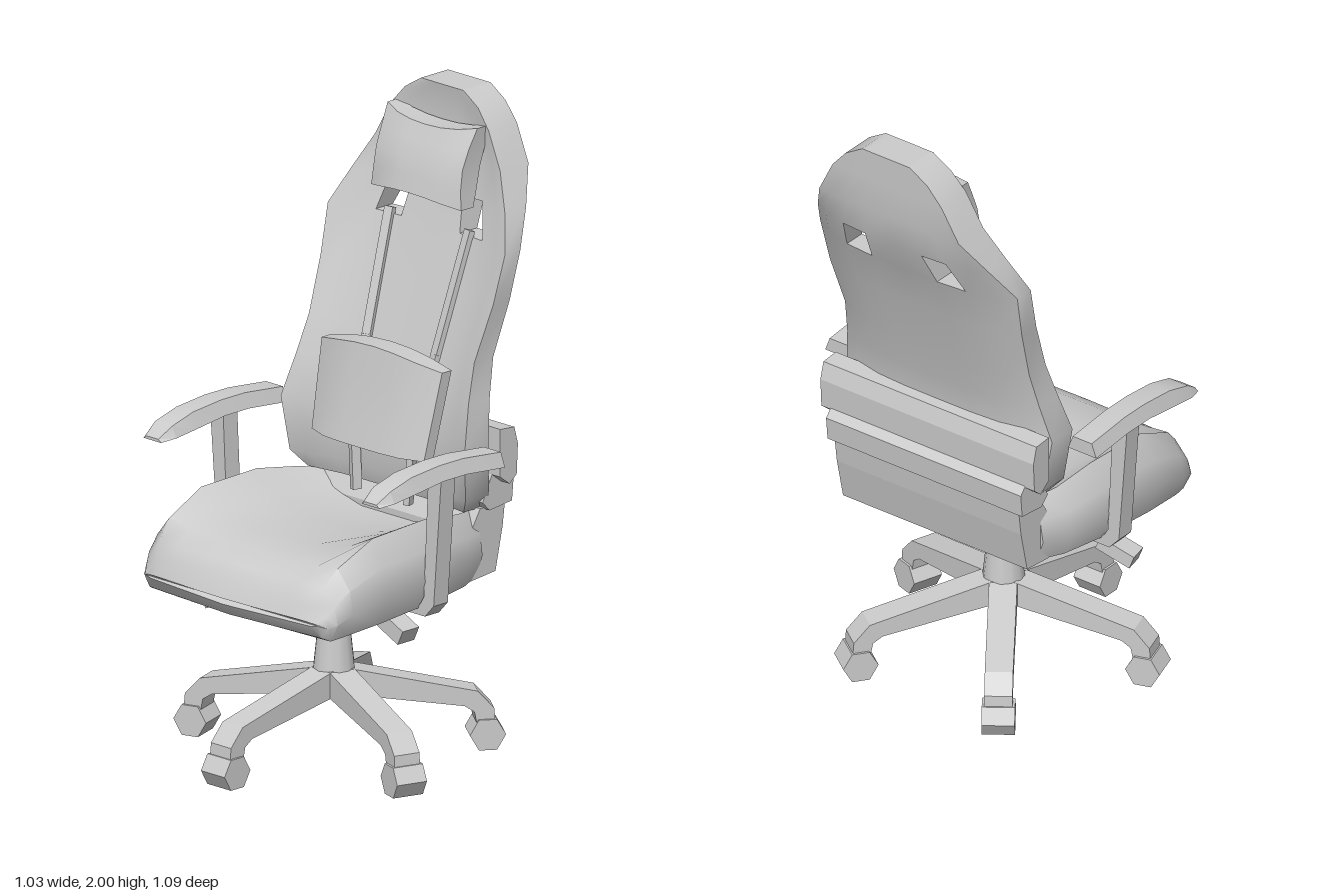
import * as THREE from 'three';
import { toCreasedNormals } from 'three/addons/utils/BufferGeometryUtils.js';

const V = (x, y, z) => new THREE.Vector3(x, y, z);
const material = new THREE.MeshStandardMaterial({ color: 0xcccccc });

function add(parent, name, geometry) {
  const mesh = new THREE.Mesh(geometry, material);
  mesh.name = name;
  parent.add(mesh);
  return mesh;
}

// Turns a list of corner loops (triangles or quads) into a creased mesh
function facesToGeometry(faces, crease) {
  const pts = [];
  for (const f of faces)
    for (let i = 1; i < f.length - 1; i++) pts.push(f[0], f[i], f[i + 1]);
  const g = new THREE.BufferGeometry().setFromPoints(pts);
  return toCreasedNormals(g, crease);
}

// Skins closed sections ordered along +z, each counterclockwise from the front
function loft(sections, crease) {
  const faces = [], n = sections[0].length;
  for (let i = 0; i < sections.length - 1; i++)
    for (let j = 0; j < n; j++) {
      const k = (j + 1) % n;
      faces.push([sections[i][j], sections[i][k], sections[i + 1][k], sections[i + 1][j]]);
    }
  for (const [s, front] of [[sections[0], false], [sections.at(-1), true]]) {
    const mid = s.reduce((m, p) => m.add(p), V(0, 0, 0)).divideScalar(n);
    s.forEach((p, j) => {
      const q = s[(j + 1) % n];
      faces.push(front ? [mid, p, q] : [mid, q, p]);
    });
  }
  return facesToGeometry(faces, crease);
}

// Side profile given as [z, y], extruded across x
function sideExtrude(profile, width) {
  const shape = new THREE.Shape(profile.map(([z, y]) => new THREE.Vector2(z, y)));
  return new THREE.ExtrudeGeometry(shape, { depth: width, bevelEnabled: false })
    .translate(0, 0, -width / 2).rotateY(-Math.PI / 2);
}

// Straight bar between two points
function bar(parent, name, a, b, w, t) {
  const mesh = add(parent, name, new THREE.BoxGeometry(w, t, a.distanceTo(b)));
  mesh.position.copy(a).lerp(b, 0.5);
  mesh.lookAt(b);
}

// Shell with strap holes: rows of
// [y, half width, front edge z, centre recess, edge thickness, centre back z]
function backrestGeometry() {
  const rows = [
    [0.78, 0.33, -0.19, 0.02, 0.09, -0.29], [0.83, 0.372, -0.155, 0.04, 0.1, -0.285],
    [1.0, 0.39, -0.135, 0.06, 0.1, -0.285], [1.13, 0.365, -0.175, 0.06, 0.09, -0.315],
    [1.25, 0.35, -0.215, 0.06, 0.08, -0.35], [1.42, 0.365, -0.28, 0.05, 0.07, -0.4],
    [1.57, 0.375, -0.32, 0.06, 0.065, -0.455], [1.68, 0.325, -0.37, 0.04, 0.09, -0.51],
    [1.79, 0.265, -0.41, 0.03, 0.12, -0.535], [1.9, 0.207, -0.42, 0.02, 0.12, -0.54],
    [1.96, 0.155, -0.427, 0.01, 0.116, -0.543], [2.0, 0.09, -0.43, 0, 0.115, -0.545]];
  const cols = [-1, -0.85, -0.6, -0.33, 0, 0.33, 0.6, 0.85, 1];
  const dip = { 0: 1, 0.33: 1, 0.6: 0.9, 0.85: 0.3, 1: 0 };
  const front = rows.map(([y, w, zf, rec]) => cols.map(f => V(f * w, y, zf - rec * dip[Math.abs(f)])));
  const back = rows.map(([y, w, zf, , t, zb]) =>
    cols.map(f => V(f * w, y, zf - t + (zb - zf + t) * (1 - f ** 4))));
  const solid = (r, c) => r >= 0 && r < rows.length - 1 && c >= 0 && c < cols.length - 1
    && !(r === 6 && (c === 2 || c === 5));
  const faces = [];
  for (let r = 0; r < rows.length - 1; r++)
    for (let c = 0; c < cols.length - 1; c++) {
      if (!solid(r, c)) continue;
      const q = [[r, c], [r, c + 1], [r + 1, c + 1], [r + 1, c]];
      faces.push(q.map(([i, j]) => front[i][j]), q.map(([i, j]) => back[i][j]).reverse());
      // Close every open edge with a wall
      [[r - 1, c], [r, c + 1], [r + 1, c], [r, c - 1]].forEach((next, k) => {
        if (solid(...next)) return;
        const [a, b] = [q[k], q[(k + 1) % 4]];
        faces.push([front[a[0]][a[1]], back[a[0]][a[1]], back[b[0]][b[1]], front[b[0]][b[1]]]);
      });
    }
  return facesToGeometry(faces, 0.6);
}

// Seat sections: [z, half width, bolster top, centre top, bottom, bow of the front edge]
function seatGeometry() {
  const stations = [
    [-0.24, 0.36, 0.77, 0.7, 0.57, 0], [-0.15, 0.4, 0.785, 0.7, 0.565, 0],
    [0, 0.42, 0.808, 0.715, 0.555, 0], [0.23, 0.427, 0.8, 0.73, 0.54, 0],
    [0.38, 0.42, 0.735, 0.715, 0.53, 0.01], [0.44, 0.405, 0.68, 0.685, 0.522, 0.02],
    [0.475, 0.39, 0.63, 0.64, 0.535, 0.03], [0.5, 0.365, 0.585, 0.59, 0.572, 0.035]];
  return loft(stations.map(([z, w, yt, yc, yb, bow]) => {
    const half = [[0.93, yb], [1, yb + (yt - yb) * 0.35], [0.97, yb + (yt - yb) * 0.7],
      [0.85, yt], [0.64, yt * 0.4 + yc * 0.6], [0.3, yc]];
    const place = ([f, y], s) => V(s * f * w, y, z - bow * f * f);
    return [V(0, yb, z), ...half.map(p => place(p, 1)), V(0, yc, z),
      ...half.map(p => place(p, -1)).reverse()];
  }), 0.75);
}

// Cushion: a box whose vertices are pinched, bowed and leaned
function cushion(w, h, d, rule) {
  const g = new THREE.BoxGeometry(w, h, d, 6, 4, 1);
  const p = g.attributes.position;
  for (let i = 0; i < p.count; i++) {
    const v = V(p.getX(i), p.getY(i), p.getZ(i));
    rule(v, v.x / (w / 2), v.y / (h / 2));
    p.setXYZ(i, v.x, v.y, v.z);
  }
  return toCreasedNormals(g.toNonIndexed(), 0.6);
}

export function createModel() {
  const chair = new THREE.Group();
  chair.name = 'officeChair';

  // Five-legged base with castors
  const base = new THREE.Group();
  base.name = 'base';
  base.position.z = 0.03;
  chair.add(base);
  const legProfile = [[0, 0.2], [0.39, 0.14], [0.42, 0.12], [0.43, 0.07], [0.485, 0.07],
    [0.48, 0.13], [0.43, 0.185], [0, 0.285]];
  for (let i = 0; i < 5; i++) {
    const leg = new THREE.Group();
    leg.name = 'leg' + (i + 1);
    leg.rotation.y = i * Math.PI * 2 / 5;
    base.add(leg);
    add(leg, 'legBeam', sideExtrude(legProfile, 0.085));
    const wheel = new THREE.CylinderGeometry(0.055, 0.055, 0.1, 6).toNonIndexed();
    wheel.rotateZ(Math.PI / 2).translate(0, 0.048, 0.46);
    add(leg, 'castor', toCreasedNormals(wheel, 0.5));
  }
  add(base, 'hub', new THREE.CylinderGeometry(0.05, 0.07, 0.19, 12)).position.y = 0.31;
  add(base, 'gasLift', new THREE.CylinderGeometry(0.028, 0.028, 0.18, 12)).position.y = 0.47;
  add(base, 'tiltPlate', new THREE.BoxGeometry(0.16, 0.03, 0.08)).position.y = 0.545;

  // Adjustment levers
  bar(chair, 'rightLeverRod', V(-0.08, 0.53, 0.04), V(-0.31, 0.46, 0.13), 0.018, 0.018);
  bar(chair, 'rightLeverHandle', V(-0.3, 0.463, 0.125), V(-0.41, 0.42, 0.15), 0.065, 0.045);
  bar(chair, 'leftLeverRod', V(0.05, 0.52, 0.035), V(0.24, 0.49, 0.035), 0.018, 0.018);
  bar(chair, 'leftLeverHandle', V(0.225, 0.485, 0.035), V(0.32, 0.44, 0.035), 0.07, 0.05);

  // Seat, its rear block and the backrest
  add(chair, 'seat', seatGeometry());
  add(chair, 'seatRearBlock', sideExtrude([[-0.305, 0.575], [-0.335, 0.71], [-0.345, 0.785],
    [-0.24, 0.785], [-0.2, 0.72], [-0.2, 0.565]], 0.7));
  add(chair, 'backrest', backrestGeometry());

  // Bar across the back, with a narrower roll below it
  add(chair, 'rearBar', sideExtrude([[-0.27, 1.04], [-0.33, 1.035], [-0.345, 0.98], [-0.34, 0.885],
    [-0.31, 0.86], [-0.27, 0.89]], 0.81));
  add(chair, 'rearRoll', sideExtrude([[-0.27, 0.89], [-0.34, 0.89], [-0.362, 0.865],
    [-0.355, 0.79], [-0.26, 0.78], [-0.23, 0.81]], 0.74));

  // Head and lumbar cushions
  const head = add(chair, 'headCushion', cushion(0.38, 0.2, 0.075, (v, u, t) => {
    v.z *= 1 - 0.3 * u * u * t * t;
    v.z -= 0.02 * u ** 4 + 0.025 * t + 0.02 * Math.max(t, 0);
    v.y += 0.022 * u * u * t;
    v.x *= 1 - 0.04 * (1 - t * t);
  }));
  head.position.set(0, 1.79, -0.35);
  const lumbar = add(chair, 'lumbarCushion', cushion(0.5, 0.27, 0.075, (v, u, t) => {
    if (v.z > 0) v.z -= 0.035 * u ** 4;
    v.z -= 0.03 * t;
    v.x *= 0.985 + 0.035 * t;
    if (t > 0) v.y += t * 0.035 * (1 - u * u);
  }));
  lumbar.position.set(0, 1.07, -0.146);

  // Paired straps and armrests
  for (const [side, s] of [['left', 1], ['right', -1]]) {
    const path = [[0.168, 1.59, -0.378], [0.145, 1.22, -0.258], [0.125, 0.95, -0.18], [0.11, 0.76, -0.175]]
      .map(([x, y, z]) => V(s * x, y, z));
    for (let i = 0; i < 3; i++)
      bar(chair, side + 'Strap' + (i + 1), path[i], path[i + 1], 0.03, 0.02);

    const arm = new THREE.Group();
    arm.name = side + 'Armrest';
    chair.add(arm);
    // Pad stations: [z, bottom, top, half width scale]
    const stations = [[-0.18, 0.965, 1.01, 1], [-0.02, 0.98, 1.026, 1], [0.08, 0.98, 1.026, 1],
      [0.2, 0.965, 1.015, 1], [0.29, 0.955, 0.99, 1], [0.338, 0.948, 0.957, 0.7]];
    add(arm, 'armPad', loft(stations.map(([z, b, t, k]) =>
      [[-0.053, b], [0.053, b], [0.036, t], [-0.036, t]].map(([x, y]) => V(s * 0.462 + x * k, y, z))), 0.4));
    // Bent upright running under the seat
    const outline = [[0.05, 0.53], [0.42, 0.53], [0.457, 0.57], [0.49, 0.99], [0.435, 0.99],
      [0.415, 0.59], [0.4, 0.565], [0.05, 0.565]].map(([x, y]) => new THREE.Vector2(s * x, y));
    const post = new THREE.ExtrudeGeometry(new THREE.Shape(outline), { depth: 0.06, bevelEnabled: false });
    add(arm, 'armPost', post.translate(0, 0, 0.005));
  }
  return chair;
}
